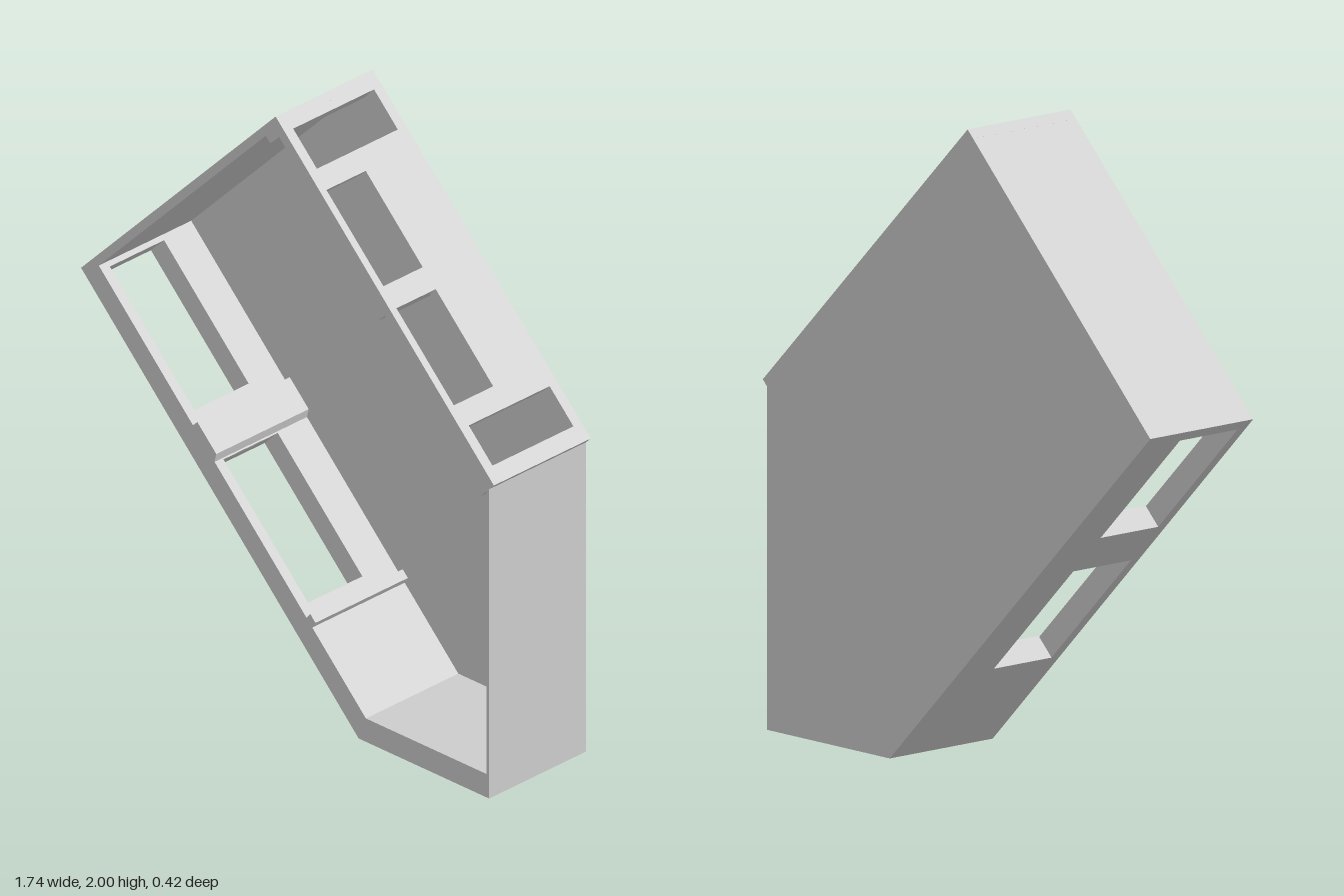
import * as THREE from 'three';

const FRONT = 0.21, BACK = -0.21, FLOOR = -0.19;

export function createModel() {
  const model = new THREE.Group();
  const material = new THREE.MeshStandardMaterial({ color: 0xcccccc, flatShading: true });

  const add = (name, geometry) => {
    const mesh = new THREE.Mesh(geometry, material);
    mesh.name = name;
    model.add(mesh);
    return mesh;
  };
  const outline = (points) => points.map(([x, y]) => new THREE.Vector2(x, y));

  // Prism with an outline in x, y running between two depths
  const prism = (name, points, z0 = FLOOR, z1 = FRONT) => {
    const geometry = new THREE.ExtrudeGeometry(new THREE.Shape(outline(points)), { depth: z1 - z0, bevelEnabled: false });
    return add(name, geometry.translate(0, 0, z0));
  };

  // Wall from a to b (anticlockwise), thickened inward; holes are [u0, u1, z0, z1]
  const wall = (name, a, b, thickness, holes = []) => {
    const start = new THREE.Vector3(...a, 0), end = new THREE.Vector3(...b, 0);
    const along = end.clone().sub(start);
    const length = along.length();
    along.normalize();
    const depth = new THREE.Vector3(0, 0, 1);
    const outward = along.clone().cross(depth);
    const rect = (u0, u1, z0, z1) => outline([[u0, z0], [u1, z0], [u1, z1], [u0, z1]]);
    const shape = new THREE.Shape(rect(0, length, FLOOR, FRONT));
    for (const hole of holes) shape.holes.push(new THREE.Path(rect(...hole).reverse()));
    const geometry = new THREE.ExtrudeGeometry(shape, { depth: thickness, bevelEnabled: false });
    const matrix = new THREE.Matrix4().makeBasis(along, depth, outward);
    matrix.setPosition(start.addScaledVector(outward, -thickness));
    return add(name, geometry.applyMatrix4(matrix));
  };

  // Back plate closing the tray
  prism('backPlate', [[0.30, 0], [0.85, 0], [0.85, 1.06], [0.87, 1.08], [-0.05, 2], [-0.87, 1.175]], BACK, FLOOR);

  // Upper right wall with four windows, given by their heights and depths
  const windows = [
    [1.12, 1.22, -0.175, 0.175],
    [1.273, 1.515, 0.015, 0.185],
    [1.57, 1.81, 0.015, 0.185],
    [1.86, 1.96, -0.175, 0.175],
  ].map(([y0, y1, z0, z1]) => [(y0 - 1.08) * Math.SQRT2, (y1 - 1.08) * Math.SQRT2, z0, z1]);
  wall('upperRightWall', [0.87, 1.08], [-0.05, 2], 0.035, windows);

  // Thin solid upper left wall
  wall('upperLeftWall', [-0.05, 2], [-0.87, 1.175], 0.028);

  // Thick lower left wall with two long slots
  wall('lowerLeftWall', [-0.87, 1.175], [0.30, 0], 0.078, [
    [0.045, 0.55, -0.06, 0.175],
    [0.724, 1.229, -0.06, 0.175],
  ]);

  // Base and thin side wall
  prism('base', [[0.30, 0], [0.85, 0], [0.85, 0.08], [0.33, 0.08]]);
  prism('sideWall', [[0.838, 0.08], [0.85, 0.08], [0.85, 1.06], [0.838, 1.06]]);

  // Ribs on the inner faces of the walls
  const ribs = [
    [[-0.405, 0.805], [-0.31, 0.71], [-0.30, 0.75], [-0.38, 0.83]],
    [[0.075, 0.325], [0.10, 0.30], [0.118, 0.328], [0.096, 0.35]],
    [[0.33, 1.51], [0.38, 1.46], [0.415, 1.495], [0.365, 1.545]],
    [[0.77, 1.055], [0.81, 1.02], [0.87, 1.08], [0.83, 1.115]],
    [[-0.11, 1.935], [-0.072, 1.9], [-0.03, 1.94], [-0.05, 1.99]],
  ];
  for (const rib of ribs) prism('rib', rib);

  return model;
}
